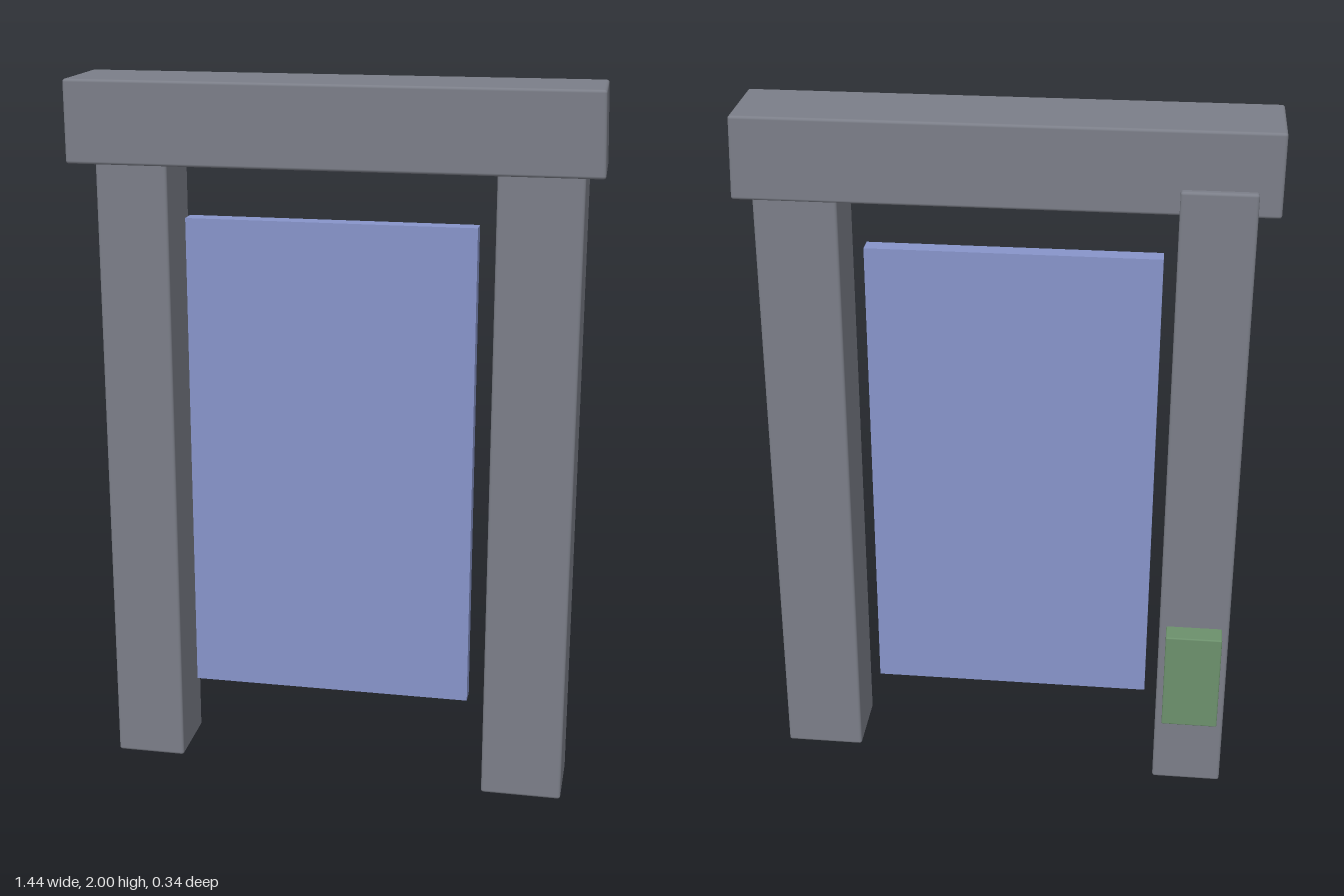
import * as THREE from 'three';
import { RoundedBoxGeometry } from 'three/addons/geometries/RoundedBoxGeometry.js';

const material = (name, color) => {
  const m = new THREE.MeshStandardMaterial({ color });
  m.name = name;
  return m;
};

// Softly bevelled box given by its limits on each axis
function block(name, mat, [x0, x1], [y0, y1], [z0, z1], bevel) {
  const size = [x1 - x0, y1 - y0, z1 - z0];
  const geometry = bevel
    ? new RoundedBoxGeometry(...size, 2, bevel)
    : new THREE.BoxGeometry(...size);
  geometry.translate((x0 + x1) / 2, (y0 + y1) / 2, (z0 + z1) / 2);
  const mesh = new THREE.Mesh(geometry, mat);
  mesh.name = name;
  return mesh;
}

export function createModel() {
  const stone = material('stoneGrey', 0x7b7e88);
  const blue = material('panelBlue', 0x8794ca);
  const green = material('boxGreen', 0x6c906c);
  const group = new THREE.Group();
  group.name = 'gateway';

  // Two posts, the right one set further back
  group.add(block('leftPost', stone, [0.44, 0.667], [0, 1.8], [-0.046, 0.157], 0.008));
  group.add(block('rightPost', stone, [-0.66, -0.46], [0, 1.845], [-0.109, 0.1], 0.008));

  // Lintel with a slightly crooked left end
  const lintel = block('lintel', stone, [-0.72, 0.718], [1.775, 2], [-0.091, 0.168], 0.008);
  const p = lintel.geometry.attributes.position;
  for (let i = 0; i < p.count; i++) {
    if (p.getX(i) > 0) {
      const up = (p.getY(i) - 1.775) / 0.225;
      const back = (0.168 - p.getZ(i)) / 0.259;
      p.setX(i, p.getX(i) - 0.007 * up - 0.006 * back);
    }
  }
  lintel.geometry.computeBoundingSphere();
  group.add(lintel);

  // Hanging panel and the small box behind the right post
  group.add(block('panel', blue, [-0.424, 0.382], [0.235, 1.618], [0.003, 0.053]));
  group.add(block('controlBox', green, [-0.64, -0.48], [0.24, 0.54], [-0.17, -0.1], 0.004));
  return group;
}
